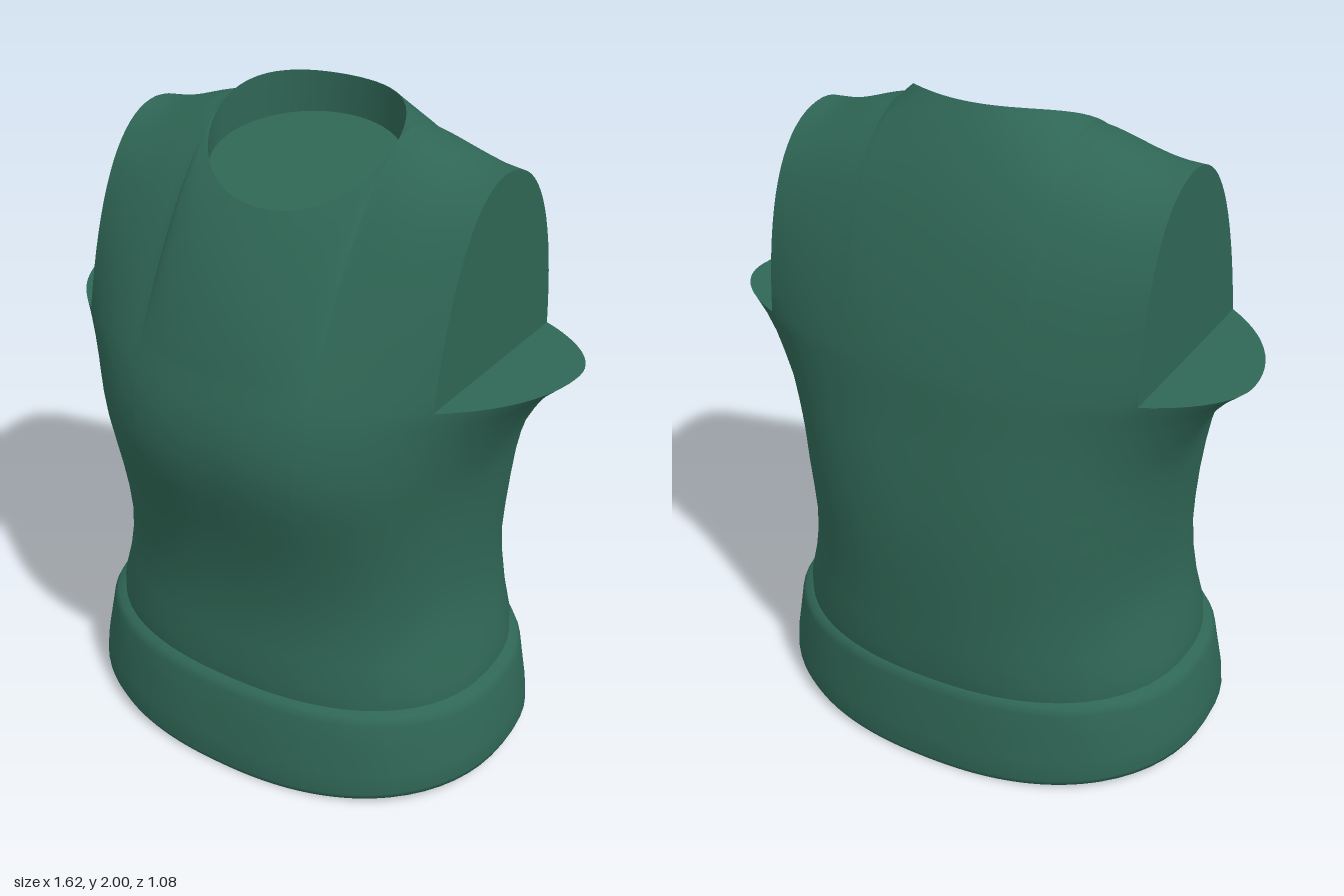
import * as THREE from 'three';
import { mergeGeometries, mergeVertices } from 'three/addons/utils/BufferGeometryUtils.js';

const ARM_X = 0.585, ARM_Y = 1.32, NECK_X = 0.29, ROWS = 18;
const lerp = THREE.MathUtils.lerp;

// Surface through rows of points, rows running upwards, columns from +x towards +z
function grid(rows) {
  const n = rows[0].length, index = [];
  for (let r = 0; r < rows.length - 1; r++) {
    for (let c = 0; c < n - 1; c++) {
      const a = r * n + c, b = a + 1, d = a + n, e = d + 1;
      index.push(a, d, b, b, d, e);
    }
  }
  const g = new THREE.BufferGeometry();
  g.setAttribute('position', new THREE.Float32BufferAttribute(rows.flat(2), 3));
  g.setIndex(index);
  return g;
}

function smooth(...parts) {
  const g = mergeVertices(mergeGeometries(parts), 1e-4);
  g.computeVertexNormals();
  return g;
}

// Columns of the chest: shoulder, neck, shoulder
const columns = [];
for (let i = 0; i < 10; i++) columns.push({ x: lerp(ARM_X, NECK_X, i / 10), phi: 0 });
for (let i = 0; i <= 28; i++) {
  const phi = Math.PI * i / 28;
  columns.push({ x: NECK_X * Math.cos(phi), phi });
}
for (let i = 1; i <= 10; i++) columns.push({ x: -lerp(NECK_X, ARM_X, i / 10), phi: 0 });

// Angles round the body, matched to the chest columns
const frontAngles = columns.map((c) => Math.acos(c.x / 0.81));
const backAngles = frontAngles.map((a) => a + Math.PI);
const sideAngles = (from, to) => Array.from({ length: 15 }, (_, i) => lerp(from, to, (i + 1) / 16));
const a0 = frontAngles[0];
const angles = [...frontAngles, ...sideAngles(Math.PI - a0, Math.PI + a0), ...backAngles,
  ...sideAngles(2 * Math.PI - a0, 2 * Math.PI + a0), 2 * Math.PI + a0];

// Cross-section: height, half width, front z, back z, middle z, squareness, lift of the sides
function section([y, w, zf, zb, mid, n, lift = 0], list = angles) {
  const pow = (v) => Math.sign(v) * Math.abs(v) ** (2 / n);
  return list.map((a) => {
    const c = Math.cos(a), s = Math.sin(a);
    return [w * pow(c), y + lift * c * c, mid + (s > 0 ? zf - mid : mid - zb) * pow(s)];
  });
}

const bodyProfile = [
  [0.29, 0.645, 0.465, -0.505, 0, 2.3],
  [0.36, 0.64, 0.468, -0.515, 0, 2.3],
  [0.45, 0.615, 0.455, -0.515, 0, 2.3],
  [0.55, 0.597, 0.448, -0.517, 0, 2.3],
  [0.65, 0.585, 0.453, -0.52, 0, 2.35],
  [0.75, 0.587, 0.468, -0.52, -0.01, 2.4],
  [0.85, 0.593, 0.49, -0.518, -0.02, 2.45],
  [0.95, 0.605, 0.518, -0.51, -0.03, 2.45],
  [1.03, 0.62, 0.535, -0.502, -0.04, 2.45],
  [1.1, 0.642, 0.54, -0.493, -0.05, 2.4],
  [1.17, 0.677, 0.535, -0.485, -0.07, 2.3],
  [1.23, 0.715, 0.522, -0.48, -0.08, 2.2],
  [1.28, 0.76, 0.506, -0.475, -0.09, 2.1],
  [ARM_Y, 0.81, 0.49, -0.47, -0.1, 2],
];

// Sloping neckline height by depth
const neckY = (z) => 1.75 + 0.25 * Math.sin(Math.PI / 2 * Math.min(1, (0.26 - z) / 0.45)) ** 1.1;
const neckPoint = (phi) => {
  const z = 0.035 + 0.225 * Math.sin(phi);
  return [NECK_X * Math.cos(phi), neckY(z), z];
};

// Upper panel: each column curves from the chest line to the shoulder ridge or neckline
// Control points are [z, y] at the arm, neck side and centre
function panel(base, side, [arm, neck, centre]) {
  const cols = columns.map(({ x, phi }, i) => {
    let [, topY, topZ] = neckPoint(side * phi), control;
    const out = Math.max(0, (Math.abs(x) - NECK_X) / (ARM_X - NECK_X));
    if (phi > 0 && phi < Math.PI) {
      control = neck.map((v, k) => lerp(v, centre[k], Math.sin(phi)));
    } else {
      control = neck.map((v, k) => lerp(v, arm[k], out));
      topY = lerp(topY, 1.875, THREE.MathUtils.smoothstep(out, 0, 0.85));
      topZ = lerp(topZ, -0.04, out);
    }
    const [, by, bz] = base[i];
    return Array.from({ length: ROWS + 1 }, (_, r) => {
      const t = r / ROWS, u = 1 - t;
      return [x, u * u * by + 2 * u * t * control[1] + t * t * topY,
        u * u * bz + 2 * u * t * control[0] + t * t * topZ];
    });
  });
  // The back runs from -x to +x
  if (side < 0) cols.reverse();
  return Array.from({ length: ROWS + 1 }, (_, r) => cols.map((c) => c[r]));
}

export function createModel() {
  const group = new THREE.Group();
  const material = new THREE.MeshStandardMaterial({ color: 0x2f6655, side: THREE.DoubleSide });
  const add = (name, geometry) => {
    const mesh = new THREE.Mesh(geometry, material);
    mesh.name = name;
    group.add(mesh);
  };

  // Body with front and back panels
  const chest = bodyProfile[bodyProfile.length - 1];
  const front = panel(section(chest, frontAngles), 1, [[0.2, 1.87], [0.22, 1.82], [0.42, 1.55]]);
  const backBase = section(chest, backAngles).reverse();
  const back = panel(backBase, -1, [[-0.33, 1.87], [-0.32, 2.05], [-0.38, 1.78]]);
  add('body', smooth(grid(bodyProfile.map((p) => section(p))), grid(front), grid(back)));

  // Hem band, rolled under and up the inside
  add('hem', smooth(grid([
    [0.3, 0.62, 0.44, -0.48, 0, 2.3],
    [0.15, 0.66, 0.47, -0.49, 0, 2.3],
    [0.035, 0.68, 0.495, -0.505, 0, 2.3, 0.04],
    [0.008, 0.695, 0.508, -0.515, 0, 2.3, 0.04],
    [0.003, 0.71, 0.522, -0.527, 0, 2.3, 0.04],
    [0.025, 0.718, 0.532, -0.537, 0, 2.3, 0.04],
    [0.1, 0.713, 0.525, -0.535, 0, 2.3, 0.02],
    [0.2, 0.698, 0.51, -0.528, 0, 2.3],
    [0.27, 0.686, 0.497, -0.523, 0, 2.3],
    [0.295, 0.672, 0.485, -0.518, 0, 2.3],
    [0.305, 0.64, 0.46, -0.505, 0, 2.3],
  ].map((p) => section(p)))));

  // Closing surface inside the hem, facing down
  add('innerFloor', smooth(grid([
    [0.3, 0.001, 0.001, -0.001, 0, 2.3],
    [0.3, 0.62, 0.44, -0.48, 0, 2.3],
  ].map((p) => section(p)))));

  // Flat armhole faces and the ledges beneath them
  for (const s of [1, -1]) {
    const side = s > 0 ? 'left' : 'right';
    const edge = (rows, plusFirst) => rows.map((r) => r[(s > 0) === plusFirst ? 0 : r.length - 1]);
    const f = edge(front, true), b = edge(back, false);
    add(side + 'ArmholeFace', smooth(grid(f.map((p, r) => (s > 0 ? [b[r], p] : [p, b[r]])))));

    const arc = Array.from({ length: 25 }, (_, i) => lerp(-a0, a0, i / 24) + (s > 0 ? 0 : Math.PI));
    const outer = section(chest, arc);
    add(side + 'ArmholeLedge', smooth(grid([outer, outer.map(([, y, z]) => [s * ARM_X, y, z])])));
  }

  // Sunken neck surface and the inner collar above it
  const rim = Array.from({ length: 57 }, (_, i) => neckPoint(2 * Math.PI * i / 56));
  const sunk = rim.map(([x, y, z]) => [x, Math.min(y, 1.75 + (0.26 - z) * 0.3), z]);
  add('neckSurface', smooth(grid([sunk, sunk.map(() => [0, 1.8175, 0.035])])));
  add('innerCollar', smooth(grid([rim, sunk])));
  return group;
}
